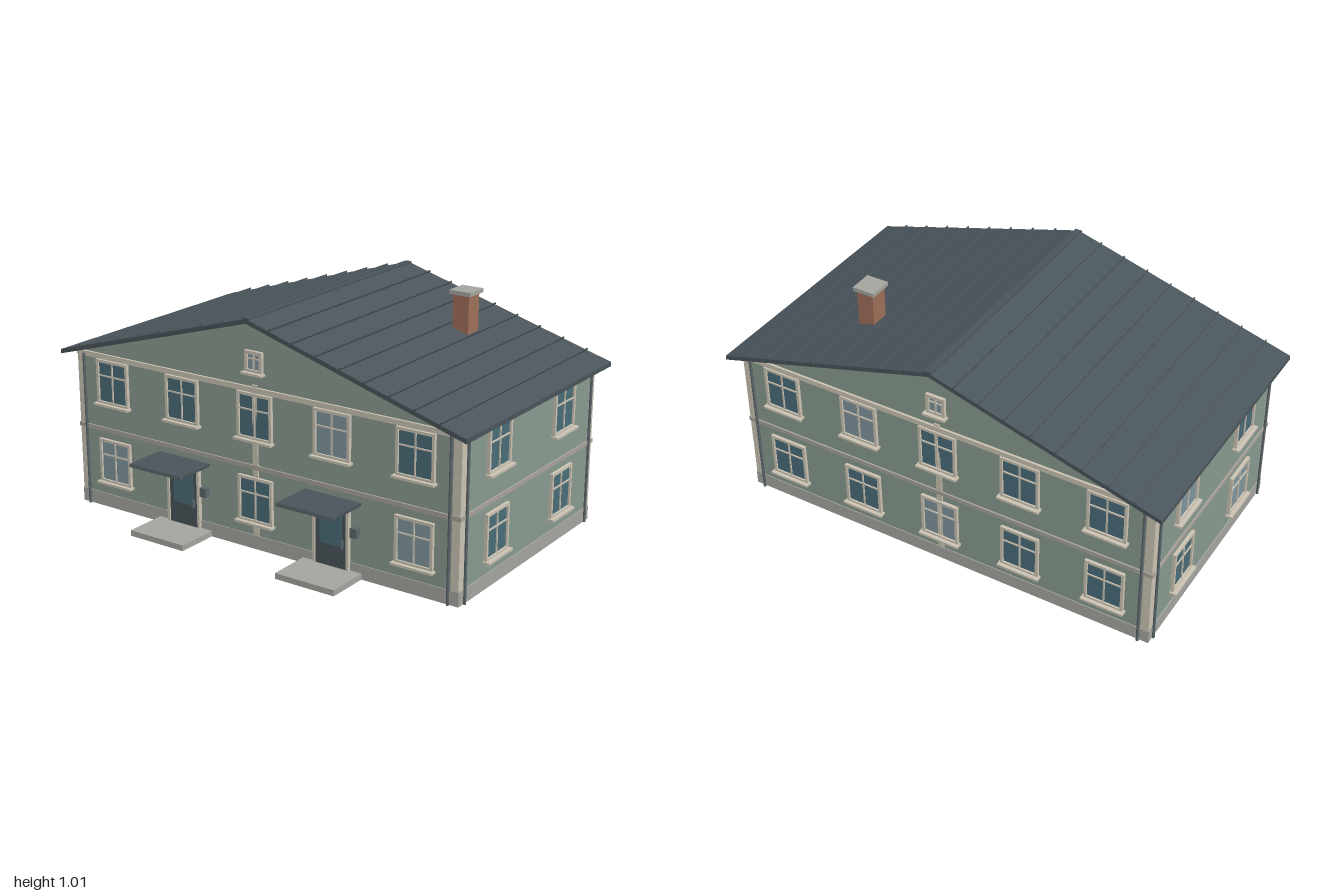
import * as THREE from 'three';

const mat = (color) => new THREE.MeshStandardMaterial({ color });
const M = {
  wall: mat(0x8a9c90), roof: mat(0x4a555b), trim: mat(0xcdc5b5), stone: mat(0xa6a6a1), belt: mat(0xa9a49c),
  glass: mat(0x4a6d79), curtain: mat(0x80979f), brick: mat(0xa0705a), pipe: mat(0x5a666b), door: mat(0x4b5559),
};

// House body: half width, front and back planes
const HW = 0.95, ZF = 0.467, ZB = -0.603, ZC = (ZF + ZB) / 2, D = ZF - ZB;
const SLOPE = 0.29, RIDGE = 0.986;

function mesh(parent, name, geometry, material, x = 0, y = 0, z = 0) {
  const m = new THREE.Mesh(geometry, material);
  m.name = name;
  m.position.set(x, y, z);
  parent.add(m);
  return m;
}
const box = (parent, name, material, w, h, d, x, y, z) =>
  mesh(parent, name, new THREE.BoxGeometry(w, h, d), material, x, y, z);

function group(parent, name, x = 0, y = 0, z = 0, ry = 0) {
  const g = new THREE.Group();
  g.name = name;
  g.position.set(x, y, z);
  g.rotation.y = ry;
  parent.add(g);
  return g;
}

// Rectangular frame with an opening, extruded outwards from the wall
function frame(parent, name, w, h, t, depth) {
  const rect = (T, a, b) => {
    const p = new T();
    p.moveTo(-a, -b); p.lineTo(a, -b); p.lineTo(a, b); p.lineTo(-a, b); p.closePath();
    return p;
  };
  const s = rect(THREE.Shape, w / 2, h / 2);
  s.holes.push(rect(THREE.Path, w / 2 - t, h / 2 - t));
  return mesh(parent, name, new THREE.ExtrudeGeometry(s, { depth, bevelEnabled: false }), M.trim);
}

// Window centred on its group, local +z pointing out of the wall
function addWindow(parent, x, y, z, ry, light, w = 0.172, h = 0.196, t = 0.012) {
  const g = group(parent, 'window', x, y, z, ry);
  frame(g, 'windowFrame', w, h, t, 0.014);
  box(g, 'windowGlass', light ? M.curtain : M.glass, w - 2 * t, h - 2 * t, 0.006, 0, 0, 0.003);
  box(g, 'windowMullion', M.trim, 0.006, h - 2 * t, 0.006, 0, 0, 0.008);
  box(g, 'windowTransom', M.trim, w - 2 * t, 0.006, 0.006, 0, h * 0.14, 0.008);
  box(g, 'windowSill', M.trim, w + 0.016, 0.01, 0.03, 0, -h / 2 - 0.002, 0.015);
}

function addEntrance(parent, x) {
  const g = group(parent, 'entrance', x, 0, ZF);
  box(g, 'doorStep', M.stone, 0.28, 0.025, 0.193, 0, 0.0125, 0.0965);
  box(g, 'doorLeaf', M.door, 0.15, 0.265, 0.012, 0, 0.153, 0.006);
  for (const s of [-1, 1]) box(g, 'doorJamb', M.trim, 0.012, 0.275, 0.018, s * 0.08, 0.158, 0.009);
  box(g, 'doorLintel', M.trim, 0.172, 0.012, 0.018, 0, 0.291, 0.009);
  box(g, 'doorGlass', M.glass, 0.105, 0.155, 0.006, 0, 0.195, 0.011);
  box(g, 'doorHandle', M.pipe, 0.008, 0.035, 0.016, 0.055, 0.13, 0.016);
  box(g, 'canopy', M.roof, 0.27, 0.012, 0.186, 0, 0.314, 0.093);
  box(g, 'canopyEdge', M.pipe, 0.276, 0.014, 0.006, 0, 0.312, 0.185);
  box(g, 'wallLamp', M.trim, 0.02, 0.036, 0.022, -0.112, 0.238, 0.011);
  box(g, 'mailbox', M.pipe, 0.03, 0.04, 0.026, 0.113, 0.195, 0.013);
}

export function createModel() {
  const house = new THREE.Group();
  house.name = 'house';

  // Walls with both gables in one extrusion
  const top = RIDGE - 0.012;
  const s = new THREE.Shape();
  s.moveTo(-HW, 0.01);
  s.lineTo(HW, 0.01);
  s.lineTo(HW, top - SLOPE * HW);
  s.lineTo(0, top);
  s.lineTo(-HW, top - SLOPE * HW);
  s.closePath();
  mesh(house, 'walls', new THREE.ExtrudeGeometry(s, { depth: D, bevelEnabled: false }), M.wall, 0, 0, ZB);
  box(house, 'plinth', M.stone, 2 * HW + 0.01, 0.06, D + 0.008, 0, 0.03, ZC);
  box(house, 'floorBelt', M.belt, 2 * HW + 0.014, 0.018, D + 0.014, 0, 0.356, ZC);

  // Roof slab, with standing seams parallel to the ridge
  const r = new THREE.Shape();
  r.moveTo(0, RIDGE);
  r.lineTo(-1, RIDGE - SLOPE);
  r.lineTo(-1, RIDGE - SLOPE - 0.019);
  r.lineTo(0, RIDGE - 0.019);
  r.lineTo(1, RIDGE - SLOPE - 0.019);
  r.lineTo(1, RIDGE - SLOPE);
  r.closePath();
  mesh(house, 'roof', new THREE.ExtrudeGeometry(r, { depth: 1.18, bevelEnabled: false }), M.roof, 0, 0, -0.657);
  for (const side of [-1, 1]) for (let k = 1; k <= 8; k++) {
    const x = side * k * 0.111;
    const seam = box(house, 'roofSeam', M.roof, 0.005, 0.012, 1.18, x, RIDGE - SLOPE * k * 0.111 + 0.003, ZC + 0.001);
    seam.rotation.z = -side * Math.atan(SLOPE);
  }
  box(house, 'ridgeCap', M.roof, 0.03, 0.008, 1.18, 0, RIDGE, ZC + 0.001);

  // Chimney
  box(house, 'chimney', M.brick, 0.075, 0.2, 0.083, 0.505, 0.895, -0.3);
  box(house, 'chimneyCap', M.stone, 0.1, 0.017, 0.104, 0.505, 1.001, -0.3);

  // Long walls under the gables: boards, centre strip and windows
  const columns = [-0.755, -0.375, 0, 0.375, 0.755];
  for (const front of [true, false]) {
    const z = front ? ZF : ZB, out = front ? 1 : -1, ry = front ? 0 : Math.PI;
    box(house, 'gableBoard', M.trim, 2 * HW, 0.022, 0.012, 0, 0.684, z + out * 0.004);
    box(house, 'centreStrip', M.trim, 0.026, 0.645, 0.008, 0, 0.382, z + out * 0.002);
    addWindow(house, 0, 0.8, z, ry, true, 0.086, 0.09, 0.014);
    columns.forEach((x, i) => {
      addWindow(house, x, 0.572, z, ry, i === 3);
      if (front && (i === 1 || i === 3)) addEntrance(house, x);
      else addWindow(house, x, 0.216, z, ry, front ? i !== 2 : i === 2);
    });
  }

  // Side walls: two windows per floor
  for (const side of [-1, 1]) for (const z of [0.196, -0.332]) {
    const ry = side * Math.PI / 2;
    addWindow(house, side * HW, 0.572, z, ry, side < 0 && z < 0);
    addWindow(house, side * HW, 0.216, z, ry, side < 0 && z > 0);
  }

  // Corner boards and a pair of downpipes at each corner
  const pipe = new THREE.CylinderGeometry(0.006, 0.006, 0.685, 8);
  for (const side of [-1, 1]) for (const out of [-1, 1]) {
    const z = out > 0 ? ZF : ZB;
    box(house, 'cornerBoard', M.trim, 0.036, 0.625, 0.036, side * (HW - 0.015), 0.373, z - out * 0.015);
    mesh(house, 'downpipe', pipe, M.pipe, side * 0.911, 0.3425, z + out * 0.011);
    mesh(house, 'downpipe', pipe, M.pipe, side * 0.959, 0.3425, z - out * 0.035);
  }
  return house;
}
